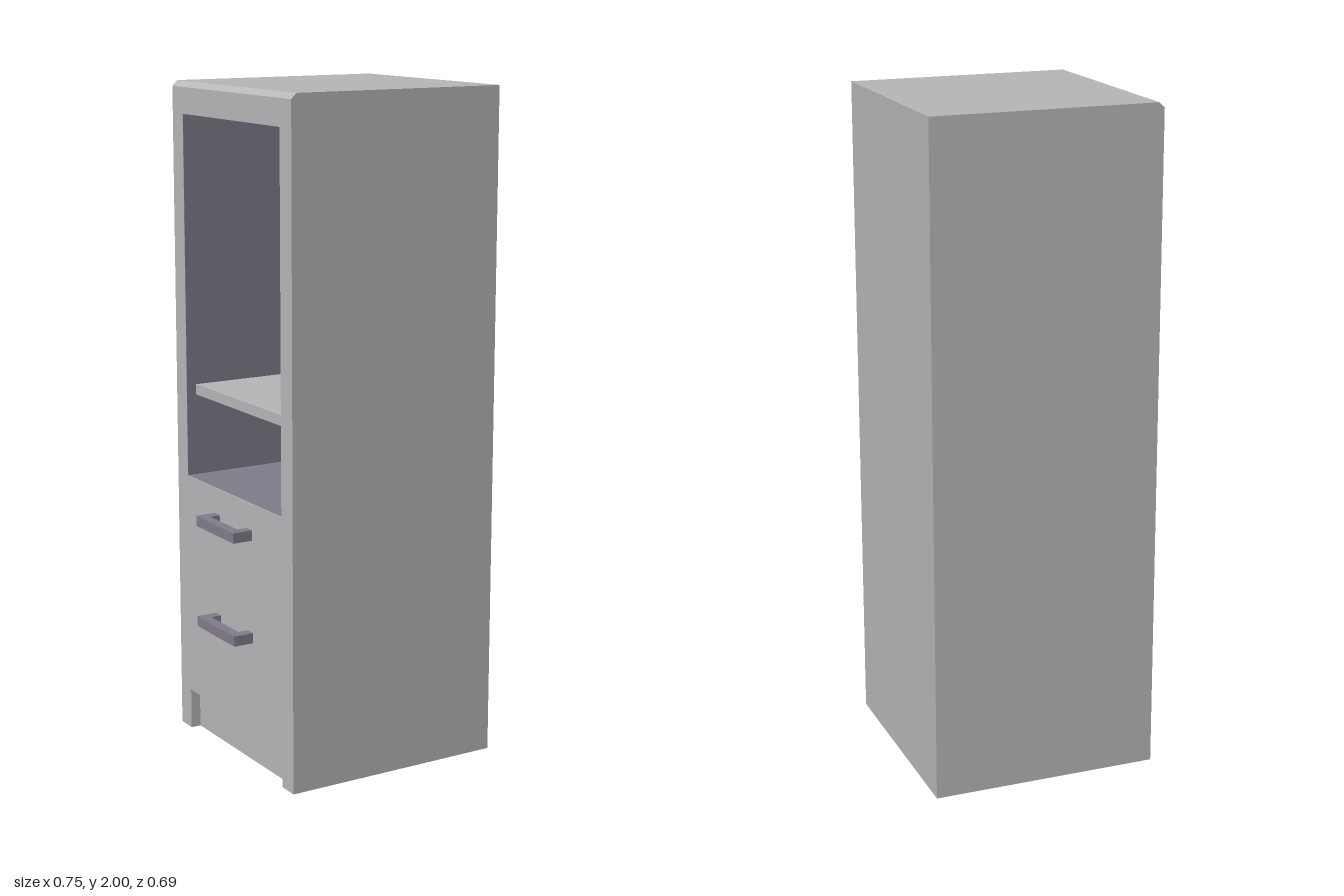
import * as THREE from 'three';

const X0 = -0.3125, X1 = 0.375;     // open face and closed face of the cabinet
const HALF = 0.34375, WALL = 0.0625; // half width and side wall thickness
const INNER = HALF - WALL;
const BEVEL = 0.016;                 // small bevel on the top edge of the open face
const OPEN_LOW = 0.8125, OPEN_HIGH = 1.906, INNER_BACK = 0.3125;

export function createModel() {
  const group = new THREE.Group();
  const grey = new THREE.MeshStandardMaterial({ color: 0xb6b8b9 });
  grey.name = 'light grey';
  const purple = new THREE.MeshStandardMaterial({ color: 0x827d8b });
  purple.name = 'purple grey';

  const add = (name, geometry, material, parent = group) => {
    const mesh = new THREE.Mesh(geometry, material);
    mesh.name = name;
    parent.add(mesh);
    return mesh;
  };
  const box = (x0, x1, y0, y1, z0, z1) =>
    new THREE.BoxGeometry(x1 - x0, y1 - y0, z1 - z0)
      .translate((x0 + x1) / 2, (y0 + y1) / 2, (z0 + z1) / 2);
  const profile = (points, z0, z1) => {
    const shape = new THREE.Shape(points.map(([x, y]) => new THREE.Vector2(x, y)));
    return new THREE.ExtrudeGeometry(shape, { depth: z1 - z0, bevelEnabled: false })
      .translate(0, 0, z0);
  };

  // Full-height side walls, whose lower ends form the feet
  const sideOutline = [[X0, 0], [X1, 0], [X1, 2], [X0 + BEVEL, 2], [X0, 2 - BEVEL]];
  add('leftSideWall', profile(sideOutline, INNER, HALF), grey);
  add('rightSideWall', profile(sideOutline, -HALF, -INNER), grey);

  // Drawer block with toe recess, back wall and top in one C-shaped section
  add('cabinetBody', profile([
    [X0 + 0.031, 0], [X1, 0], [X1, 2], [X0 + BEVEL, 2], [X0, 2 - BEVEL],
    [X0, OPEN_HIGH], [INNER_BACK, OPEN_HIGH], [INNER_BACK, OPEN_LOW],
    [X0, OPEN_LOW], [X0, 0.125], [X0 + 0.031, 0.125],
  ], -INNER, INNER), grey);

  // Inward-facing lining of the open compartment, without its open face
  const gap = 0.002;
  const lining = new THREE.BoxGeometry(
    INNER_BACK - X0 - gap, OPEN_HIGH - OPEN_LOW - 2 * gap, 2 * (INNER - gap));
  lining.scale(-1, 1, 1);
  lining.setIndex(Array.from(lining.index.array).slice(6));
  lining.clearGroups();
  lining.computeVertexNormals();
  lining.translate((X0 + INNER_BACK - gap) / 2, (OPEN_LOW + OPEN_HIGH) / 2, 0);
  add('compartmentLining', lining, purple);

  // Shelf set slightly back from the opening
  add('shelf', box(X0 + 0.031, INNER_BACK - gap, 1.0625, 1.094, -INNER + gap, INNER - gap), grey);

  // Square bar handles on the two drawers
  const t = 0.031, reach = 0.113;
  [['upperHandle', 0.703], ['lowerHandle', 0.391]].forEach(([name, y]) => {
    const handle = new THREE.Group();
    handle.name = name;
    add('grip', box(-0.375, -0.375 + t, y, y + t, -reach, reach), purple, handle);
    for (const s of [-1, 1]) {
      const z = s * (reach - t / 2);
      add('handlePost', box(-0.375 + t, X0, y, y + t, z - t / 2, z + t / 2), purple, handle);
    }
    group.add(handle);
  });

  return group;
}
